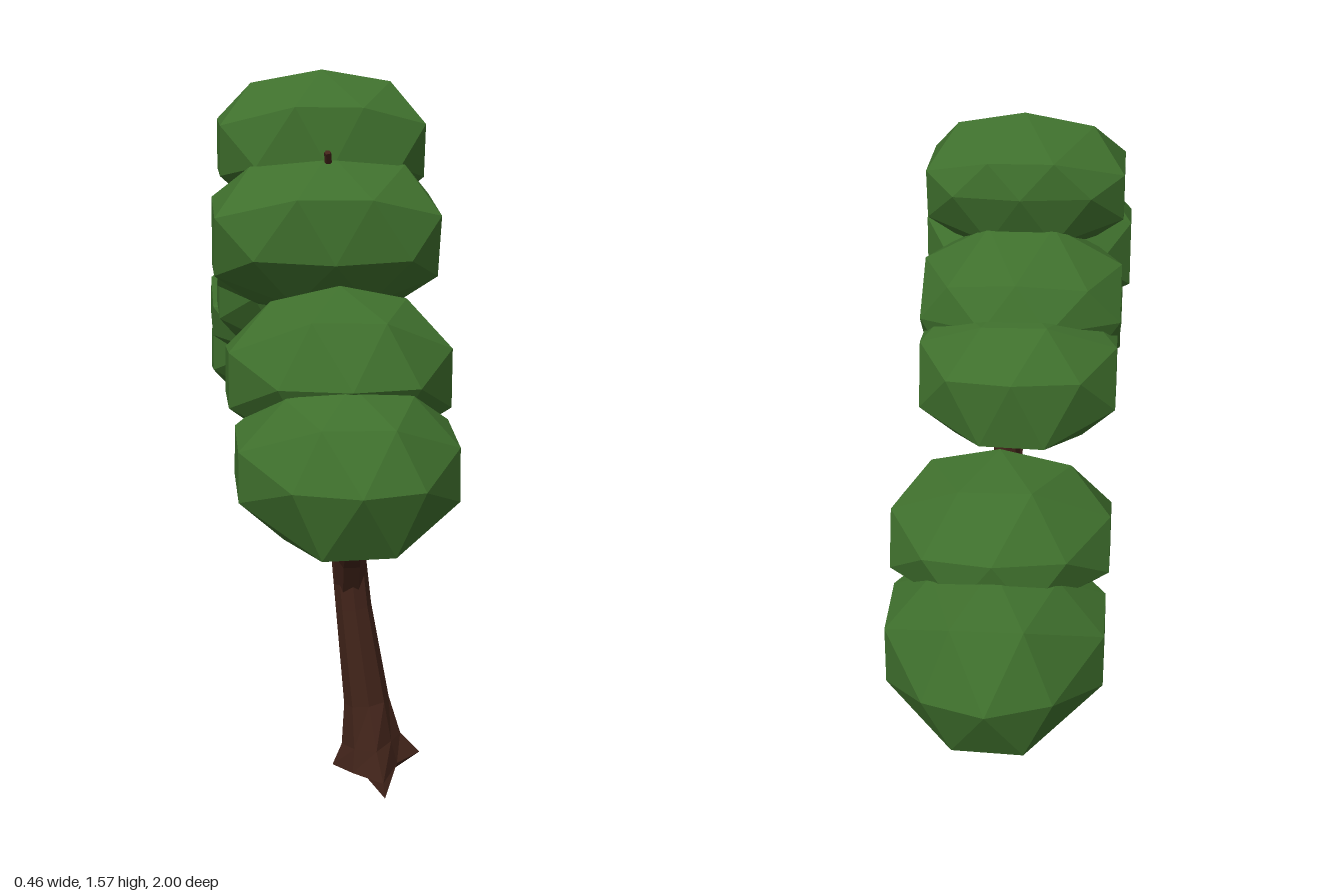
import * as THREE from 'three';
import { ConvexGeometry } from 'three/addons/geometries/ConvexGeometry.js';

const bark = new THREE.MeshStandardMaterial({ color: 0x42241a, flatShading: true });
const leaf = new THREE.MeshStandardMaterial({ color: 0x3f702d, flatShading: true });

// Tapered limb through points [x, y, z, radius]; radius may be a list, one per side
function limbGeometry(points, sides) {
  const centres = points.map(p => new THREE.Vector3(p[0], p[1], p[2]));
  const pos = [], index = [];
  const xAxis = new THREE.Vector3(1, 0, 0);
  centres.forEach((c, i) => {
    const t = centres[Math.min(i + 1, centres.length - 1)].clone()
      .sub(centres[Math.max(i - 1, 0)]).normalize();
    const v = t.clone().cross(xAxis).normalize();
    const u = v.clone().cross(t);
    for (let k = 0; k < sides; k++) {
      const a = k / sides * Math.PI * 2;
      const r = Array.isArray(points[i][3]) ? points[i][3][k] : points[i][3];
      pos.push(...c.clone().addScaledVector(u, r * Math.cos(a)).addScaledVector(v, r * Math.sin(a)));
    }
  });
  const last = (centres.length - 1) * sides, capA = pos.length / 3, capB = capA + 1;
  pos.push(...centres[0], ...centres[centres.length - 1]);
  for (let k = 0; k < sides; k++) {
    const n = (k + 1) % sides;
    for (let i = 0; i < last; i += sides) {
      index.push(i + k, i + n, i + sides + n, i + k, i + sides + n, i + sides + k);
    }
    index.push(capA, n, k, capB, last + k, last + n);
  }
  const g = new THREE.BufferGeometry();
  g.setAttribute('position', new THREE.Float32BufferAttribute(pos, 3));
  g.setIndex(index);
  g.computeVertexNormals();
  return g;
}

// Faceted leaf clump: a side outline [z, y] shrinking towards both x ends;
// a smaller end value gives a rounder clump
function clumpGeometry(outline, halfWidth, end) {
  const cz = outline.reduce((s, p) => s + p[0], 0) / outline.length;
  const cy = outline.reduce((s, p) => s + p[1], 0) / outline.length;
  const side = 0.3 + 0.7 * end;
  const even = [[0, 1], [-side, 0.83], [side - 0.02, 0.85]];
  const odd = [[-0.32, 1], [0.32, 0.98], [-1, end], [0.95, end + 0.03]];
  const pts = [];
  outline.forEach(([z, y], i) => {
    for (const [x, s] of i % 2 ? odd : even) {
      pts.push(new THREE.Vector3(x * halfWidth - 0.005, cy + (y - cy) * s, cz + (z - cz) * s));
    }
  });
  return new ConvexGeometry(pts);
}

export function createModel() {
  const model = new THREE.Group();
  const add = (name, geometry, material) => {
    const mesh = new THREE.Mesh(geometry, material);
    mesh.name = name;
    model.add(mesh);
  };

  // Trunk with uneven roots, the side roots lifted off the ground
  add('trunk', limbGeometry([
    [0.12, 0.01, 0.19, [0.035, 0.05, 0.125, 0.03, 0.025, 0.04, 0.165, 0.03]],
    [0.12, 0.04, 0.19, [0.1, 0.105, 0.1, 0.08, 0.1, 0.085, 0.135, 0.06]],
    [0.11, 0.09, 0.195, [0.065, 0.065, 0.075, 0.065, 0.07, 0.065, 0.085, 0.055]],
    [0.097, 0.18, 0.192, 0.051],
    [0.067, 0.4, 0.19, 0.04],
    [0.052, 0.55, 0.188, 0.038],
    [0.04, 0.7, 0.18, 0.032],
    [0.035, 0.9, 0.165, 0.029],
    [0.02, 1.1, 0.155, 0.025],
    [0, 1.35, 0.17, 0.012],
  ], 8), bark);

  // Branches
  const branches = {
    frontBranch: [[0.058, 0.44, 0.185, 0.034], [0.055, 0.53, 0.24, 0.036], [0.045, 0.645, 0.41, 0.031],
      [0.03, 0.69, 0.61, 0.021], [0, 0.74, 0.8, 0.01]],
    frontUpperBranch: [[0.045, 0.63, 0.43, 0.026], [0.042, 0.7, 0.437, 0.025], [0.035, 0.85, 0.465, 0.018],
      [0, 1.02, 0.55, 0.009]],
    backBranch: [[0.045, 0.6, 0.185, 0.032], [0.045, 0.69, 0.135, 0.033], [0.043, 0.8, 0.015, 0.027],
      [0.042, 0.81, -0.04, 0.025], [0.04, 0.8, -0.3, 0.023], [0.03, 0.75, -0.54, 0.016], [0, 0.76, -0.75, 0.009]],
    backUpperBranch: [[0.04, 0.79, -0.26, 0.021], [0.038, 0.82, -0.35, 0.023], [0.03, 0.89, -0.45, 0.019],
      [0, 0.98, -0.58, 0.009]],
    crownFrontBranch: [[0.03, 1, 0.16, 0.018], [0.01, 1.2, 0.25, 0.014], [-0.012, 1.41, 0.395, 0.007]],
    crownBackBranch: [[0.03, 1, 0.16, 0.016], [0.01, 1.1, 0.06, 0.014], [0, 1.15, -0.1, 0.008]],
  };
  for (const [name, path] of Object.entries(branches)) add(name, limbGeometry(path, 6), bark);

  // Foliage clumps, from front to back
  const clump = (name, halfWidth, end, outline) => add(name, clumpGeometry(outline, halfWidth, end), leaf);
  clump('frontLowerFoliage', 0.21, 0.4, [[1, 0.83], [0.93, 0.94], [0.8, 1], [0.58, 1],
    [0.47, 0.86], [0.51, 0.75], [0.74, 0.667], [0.94, 0.705]]);
  clump('frontUpperFoliage', 0.22, 0.45, [[0.83, 0.99], [0.76, 1.11], [0.58, 1.16], [0.41, 1.09],
    [0.36, 0.97], [0.37, 0.88], [0.53, 0.83], [0.75, 0.87]]);
  clump('crownFrontFoliage', 0.237, 0.55, [[0.5, 1.19], [0.49, 1.32], [0.35, 1.41], [0.16, 1.38],
    [0.08, 1.25], [0.14, 1.12], [0.29, 1.075], [0.41, 1.1]]);
  clump('crownTopFoliage', 0.22, 0.55, [[0.38, 1.37], [0.36, 1.5], [0.185, 1.577], [0.01, 1.52],
    [-0.01, 1.445], [0.035, 1.33], [0.17, 1.27], [0.32, 1.31]]);
  clump('crownMiddleFoliage', 0.22, 0.55, [[0.22, 1.3], [0.04, 1.37], [-0.15, 1.31], [-0.19, 1.22],
    [-0.13, 1.09], [0, 1.03], [0.16, 1.06], [0.27, 1.145]]);
  clump('crownBackFoliage', 0.215, 0.52, [[0.15, 1.08], [0.1, 1.2], [-0.06, 1.25], [-0.205, 1.24],
    [-0.3, 1.15], [-0.29, 1], [-0.1, 0.905], [0.08, 0.96]]);
  clump('backUpperFoliage', 0.215, 0.48, [[-0.365, 0.89], [-0.38, 1.01], [-0.58, 1.155], [-0.715, 1.135],
    [-0.81, 1.03], [-0.8, 0.93], [-0.62, 0.83], [-0.46, 0.85]]);
  clump('backLowerFoliage', 0.21, 0.4, [[-0.46, 0.87], [-0.59, 0.99], [-0.76, 1], [-0.93, 0.97],
    [-1, 0.83], [-0.94, 0.705], [-0.77, 0.667], [-0.56, 0.74]]);

  return model;
}
